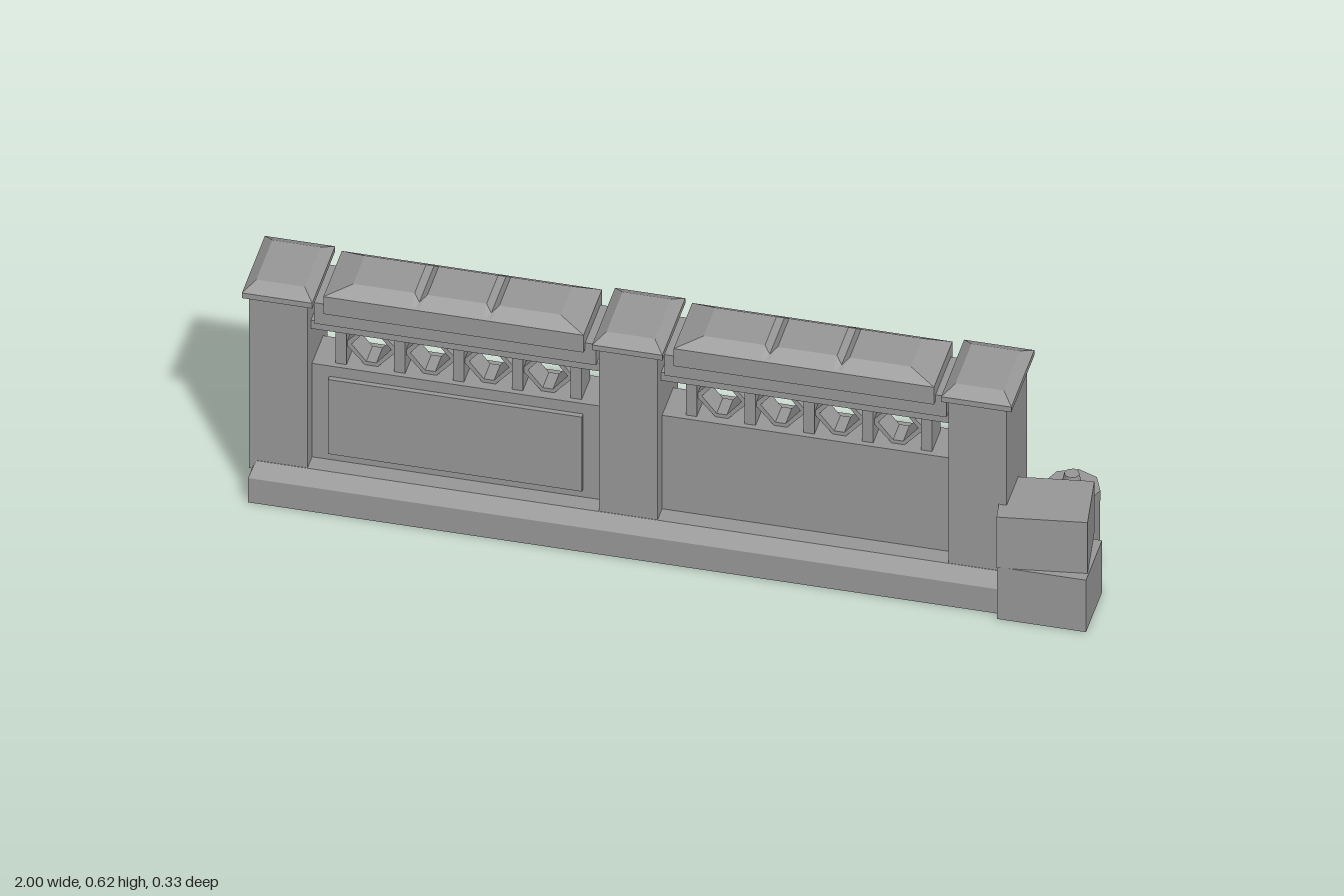
import * as THREE from 'three';

const ZC = 0.0175; // centre line of the fence

export function createModel() {
  const model = new THREE.Group();
  const stone = new THREE.MeshStandardMaterial({ color: 0x999999 });
  stone.name = 'grey stone';

  const add = (name, geo, parent = model) => {
    const mesh = new THREE.Mesh(geo, stone);
    mesh.name = name;
    parent.add(mesh);
    return mesh;
  };
  // Box given by its limits on each axis
  const box = (name, x0, x1, y0, y1, z0, z1, parent) => {
    const geo = new THREE.BoxGeometry(x1 - x0, y1 - y0, z1 - z0);
    geo.translate((x0 + x1) / 2, (y0 + y1) / 2, (z0 + z1) / 2);
    return add(name, geo, parent);
  };
  // Box whose top is drawn in by dx and dz on each side
  const tapered = (name, x0, x1, y0, y1, z0, z1, dx, dz, parent) => {
    const mesh = box(name, x0, x1, y0, y1, z0, z1, parent);
    const p = mesh.geometry.attributes.position;
    const cx = (x0 + x1) / 2, cz = (z0 + z1) / 2;
    for (let i = 0; i < p.count; i++) {
      if (p.getY(i) < (y0 + y1) / 2) continue;
      p.setX(i, p.getX(i) - Math.sign(p.getX(i) - cx) * dx);
      p.setZ(i, p.getZ(i) - Math.sign(p.getZ(i) - cz) * dz);
    }
    mesh.geometry.computeVertexNormals();
    return mesh;
  };

  // Plinth with a sloping upper edge
  box('plinth', -0.985, 0.80, 0, 0.07, -0.115, 0.14);
  tapered('plinthSlope', -0.985, 0.80, 0.07, 0.105, -0.115, 0.14, 0.012, 0.024);

  // Three posts with hipped caps
  for (const x of [-0.92, -0.0925, 0.7325]) {
    const post = new THREE.Group();
    post.name = 'post';
    model.add(post);
    box('postShaft', x - 0.069, x + 0.069, 0.08, 0.577, -0.08, 0.115, post);
    box('postCapSlab', x - 0.083, x + 0.083, 0.577, 0.592, -0.095, 0.127, post);
    tapered('postCapTop', x - 0.083, x + 0.083, 0.592, 0.61, -0.095, 0.127, 0.026, 0.034, post);
  }

  // Coping stone: cross-sections along x, hipped at the ends with two V grooves
  const copingGeometry = () => {
    const outer = 0.089, flat = 0.055;
    const half = [[0.3075, 0.60, outer], [0.245, 0.623, flat], [0.10, 0.623, flat],
      [0.085, 0.611, 0.071], [0.07, 0.623, flat]];
    const sections = [...half.map(([x, y, z]) => [-x, y, z]),
      ...half.slice().reverse()];
    const rings = sections.map(([x, y, z]) => [
      [x, 0.55, outer], [x, 0.60, outer], [x, y, z],
      [x, y, -z], [x, 0.60, -outer], [x, 0.55, -outer]]);
    const pos = [];
    const quad = (a, b, c, d) => pos.push(...a, ...b, ...c, ...a, ...c, ...d);
    for (let i = 0; i < rings.length - 1; i++) {
      for (let j = 0; j < 6; j++) {
        const k = (j + 1) % 6;
        quad(rings[i][j], rings[i + 1][j], rings[i + 1][k], rings[i][k]);
      }
    }
    const s = rings[0], e = rings[rings.length - 1];
    quad(s[0], s[1], s[4], s[5]);
    quad(e[0], e[5], e[4], e[1]);
    const geo = new THREE.BufferGeometry();
    geo.setAttribute('position', new THREE.Float32BufferAttribute(pos, 3));
    geo.computeVertexNormals();
    return geo;
  };

  // Diamond frame for the openwork
  const diamondGeometry = () => {
    const trace = (path, w, h) => {
      path.moveTo(w, 0);
      path.lineTo(0.012, h);
      path.lineTo(-0.012, h);
      path.lineTo(-w, 0);
      path.lineTo(-0.012, -h);
      path.lineTo(0.012, -h);
      path.closePath();
      return path;
    };
    const shape = trace(new THREE.Shape(), 0.063, 0.058);
    shape.holes.push(trace(new THREE.Path(), 0.047, 0.044));
    return new THREE.ExtrudeGeometry(shape, { depth: 0.06, bevelEnabled: false }).translate(0, 0, -0.03);
  };

  // Two bays: wall, openwork, beam, frieze and coping
  const coping = copingGeometry();
  const diamond = diamondGeometry();
  for (const x of [-0.508, 0.32]) {
    const bay = new THREE.Group();
    bay.name = 'bay';
    bay.position.set(x, 0, ZC);
    model.add(bay);
    box('wall', -0.348, 0.348, 0.08, 0.375, -0.054, 0.054, bay);
    box('beam', -0.348, 0.348, 0.483, 0.507, -0.064, 0.064, bay);
    box('frieze', -0.333, 0.333, 0.507, 0.567, -0.074, 0.074, bay);
    add('coping', coping, bay);
    for (let i = 0; i < 5; i++) {
      const bx = (i - 2) * 0.139;
      box('latticeBar', bx - 0.013, bx + 0.013, 0.37, 0.49, -0.04, 0.04, bay);
      if (i < 4) add('latticeDiamond', diamond, bay).position.set(bx + 0.0695, 0.429, 0);
    }
  }
  // Raised plaque on the front of the right-hand bay
  box('plaque', -0.81, -0.21, 0.13, 0.345, 0.06, 0.084);

  // Stacked crates
  box('lowerCrate', 0.79, 1.0, 0, 0.15, 0.005, 0.16);
  const upper = add('upperCrate', new THREE.BoxGeometry(0.21, 0.147, 0.157));
  upper.position.set(0.8825, 0.2235, 0.0715);
  upper.rotation.y = 0.14;

  // Canister with a tapered neck
  const canister = new THREE.Group();
  canister.name = 'canister';
  canister.position.set(0.904, 0, -0.097);
  model.add(canister);
  add('canisterBody', new THREE.CylinderGeometry(0.067, 0.065, 0.213, 8), canister).position.y = 0.1065;
  add('canisterNeck', new THREE.CylinderGeometry(0.018, 0.026, 0.038, 8), canister).position.y = 0.232;

  return model;
}
